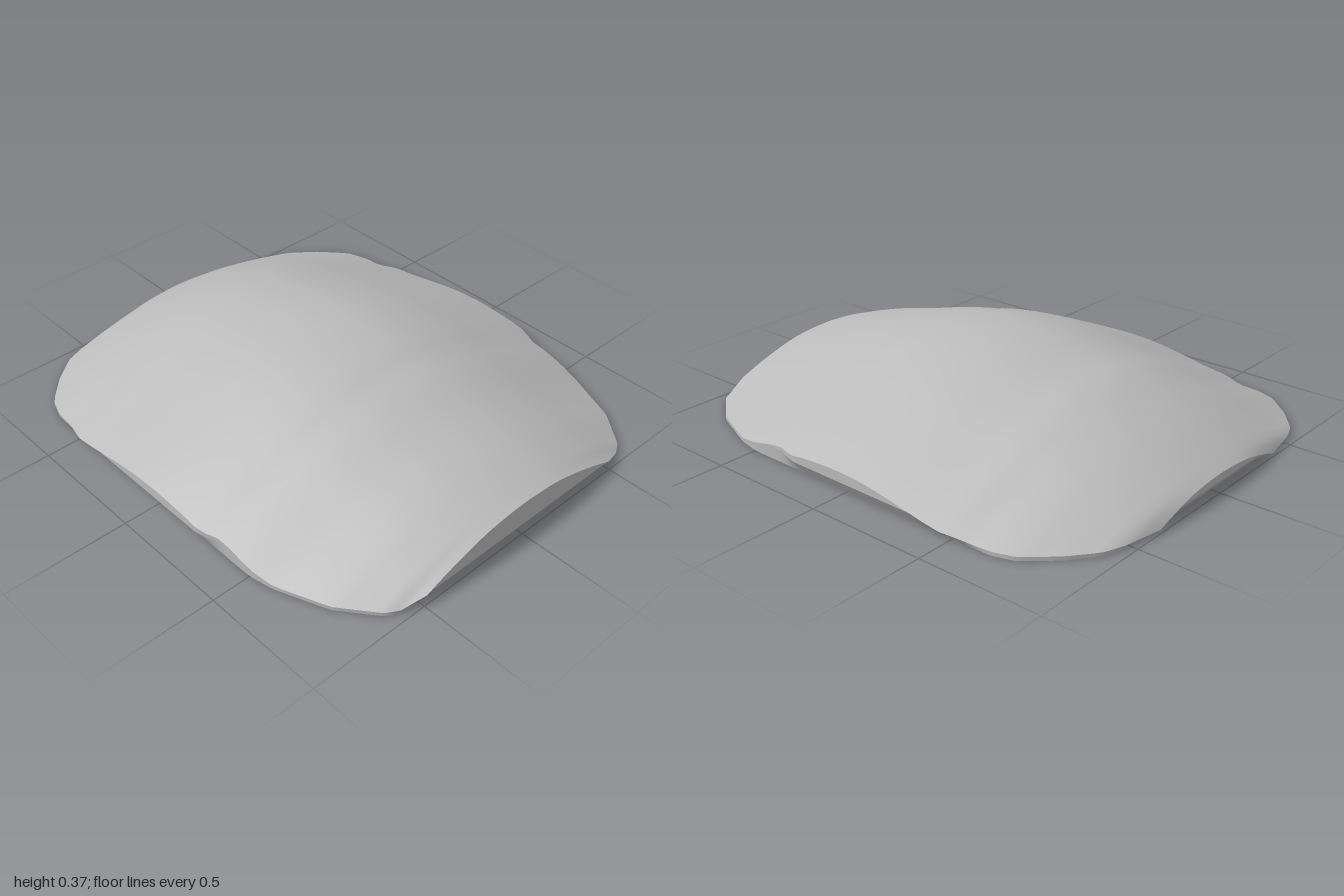
import * as THREE from 'three';

// Smooth curve through [position, value] pairs
function curve(pairs, Kind = THREE.CubicInterpolant) {
  const f = new Kind(pairs.map(p => p[0]), pairs.map(p => p[1]), 1);
  return t => f.evaluate(t)[0];
}

// Half width of the outline along z
const halfWidth = curve([
  [-1, 0.37], [-0.97, 0.53], [-0.94, 0.61], [-0.86, 0.71], [-0.75, 0.81], [-0.66, 0.84], [-0.57, 0.847],
  [-0.48, 0.873], [0.26, 0.873], [0.34, 0.843], [0.5, 0.84], [0.6, 0.82], [0.8, 0.74],
  [0.94, 0.63], [0.97, 0.58], [1, 0.49],
], THREE.LinearInterpolant);

// Height of the centre line along z, with shallow grooves near 0.33 and -0.4
const crest = curve([
  [-1, 0.08], [-0.95, 0.11], [-0.8, 0.19], [-0.6, 0.272], [-0.5, 0.303], [-0.4, 0.317], [-0.3, 0.335],
  [-0.15, 0.36], [0, 0.37], [0.15, 0.364], [0.25, 0.352], [0.32, 0.333], [0.4, 0.322],
  [0.6, 0.27], [0.8, 0.22], [1, 0.155],
]);

// Fall of the surface from the centre line towards the sides
const drop = curve([
  [0, 0], [0.1, 0.005], [0.2, 0.018], [0.4, 0.075], [0.6, 0.157], [0.8, 0.245], [0.88, 0.282],
]);

const ROWS = 64, COLS = 48;

function surfacePoint(i, j) {
  const z = Math.sin((i / ROWS - 0.5) * Math.PI);
  const u = Math.sin((j / COLS - 0.5) * Math.PI);
  const w = halfWidth(z), h = crest(z);
  const scale = Math.min(1, (h - 0.015) / drop(w));
  return [u * w, h - drop(Math.abs(u * w)) * scale, z];
}

function makeGeometry(points, index) {
  const g = new THREE.BufferGeometry();
  g.setAttribute('position', new THREE.Float32BufferAttribute(points.flat(), 3));
  g.setIndex(index);
  g.computeVertexNormals();
  return g;
}

function domeGeometry() {
  const points = [], index = [], n = COLS + 1;
  for (let i = 0; i <= ROWS; i++) {
    for (let j = 0; j <= COLS; j++) {
      points.push(surfacePoint(i, j));
      if (i === ROWS || j === COLS) continue;
      const a = i * n + j;
      index.push(a, a + n, a + 1, a + 1, a + n, a + n + 1);
    }
  }
  return makeGeometry(points, index);
}

// Points around the edge of the dome, anticlockwise from above
function rimPoints() {
  const rim = [];
  for (let j = 0; j < COLS; j++) rim.push(surfacePoint(ROWS, j));
  for (let i = ROWS; i > 0; i--) rim.push(surfacePoint(i, COLS));
  for (let j = COLS; j > 0; j--) rim.push(surfacePoint(0, j));
  for (let i = 0; i < ROWS; i++) rim.push(surfacePoint(i, 0));
  return rim;
}

// Wall strip joining two loops of equal length
function bandGeometry(lower, upper) {
  const n = lower.length, index = [];
  for (let k = 0; k < n; k++) {
    const m = (k + 1) % n;
    index.push(k, m, n + k, m, n + m, n + k);
  }
  return makeGeometry([...lower, ...upper], index);
}

function baseGeometry(loop) {
  const n = loop.length, index = [];
  for (let k = 0; k < n; k++) index.push(n, (k + 1) % n, k);
  return makeGeometry([...loop, [0, 0, 0]], index);
}

export function createModel() {
  const group = new THREE.Group();
  group.name = 'domedCushion';
  const grey = new THREE.MeshStandardMaterial({ color: 0xbbbbbb });
  grey.name = 'light grey';

  const rim = rimPoints();
  const ledge = rim.map(([x, y, z]) => [x, Math.min(y, 0.05), z]);
  const foot = rim.map(([x, , z]) => [
    THREE.MathUtils.clamp(x, -0.84, 0.84), 0, THREE.MathUtils.clamp(z, -0.96, 0.96),
  ]);

  const add = (name, geometry) => {
    const mesh = new THREE.Mesh(geometry, grey);
    mesh.name = name;
    group.add(mesh);
  };
  add('dome', domeGeometry());
  add('rimWall', bandGeometry(ledge, rim)); // upright edge
  add('undercut', bandGeometry(foot, ledge)); // slopes in to the base
  add('base', baseGeometry(foot));
  return group;
}
